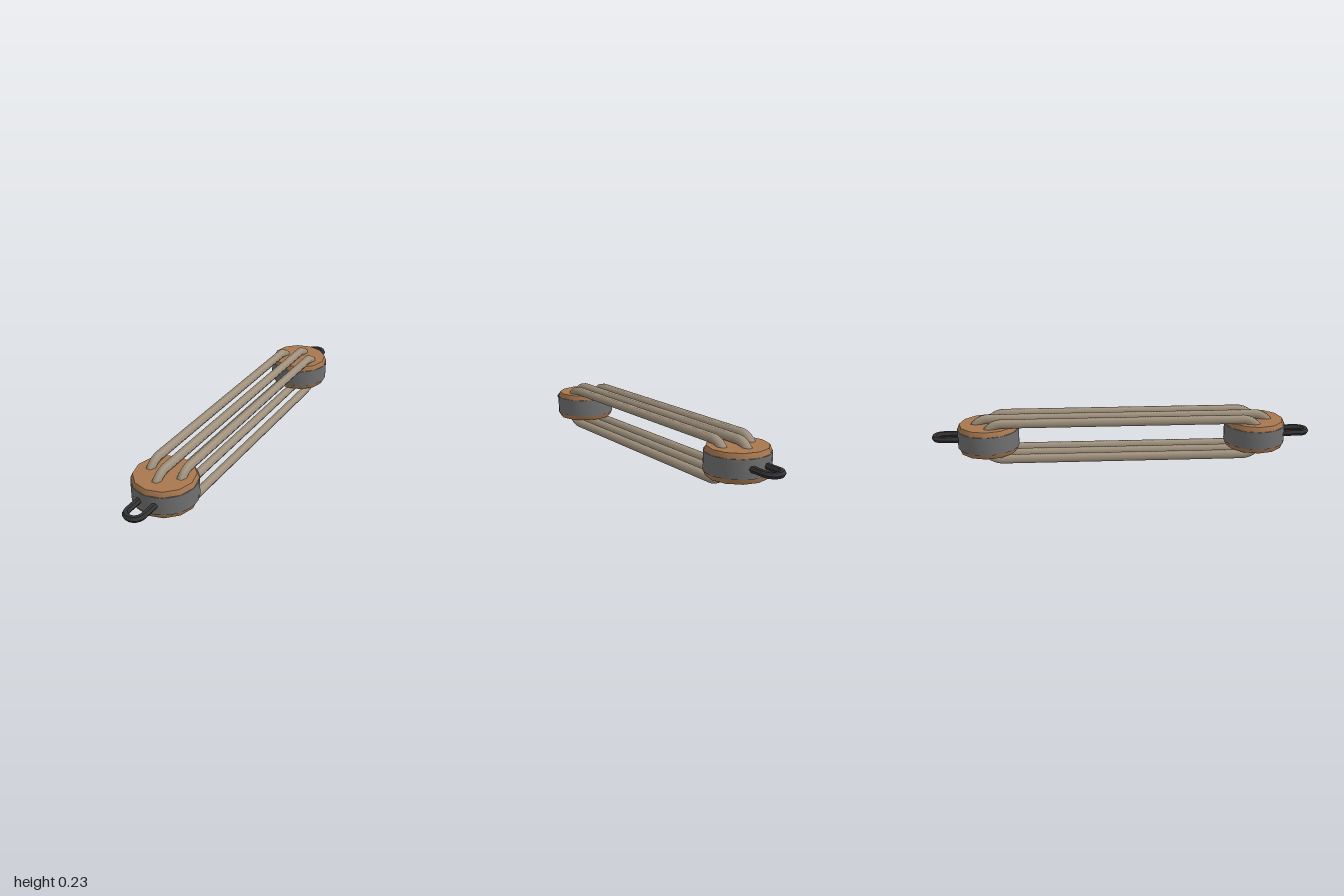
import * as THREE from 'three';
import { toCreasedNormals } from 'three/addons/utils/BufferGeometryUtils.js';

const MID = 0.117; // height of the middle plane
const material = (name, color) => {
  const m = new THREE.MeshStandardMaterial({ color });
  m.name = name;
  return m;
};

// Lifts a flat 2D path into space so that a tube can follow it.
class LiftedPath extends THREE.Curve {
  constructor(path, lift) {
    super();
    this.path = path;
    this.lift = lift;
  }
  getPoint(t) {
    const p = this.path.getPoint(t);
    return this.lift(p.x, p.y);
  }
}

// Rope loop: two long runs joined by half circles, centred on the origin.
function ropeGeometry(bendZ) {
  const r = 0.0964;
  const path = new THREE.Path();
  path.moveTo(-bendZ, -r);
  path.lineTo(bendZ, -r);
  path.absarc(bendZ, 0, r, -Math.PI / 2, Math.PI / 2, false);
  path.lineTo(-bendZ, r);
  path.absarc(-bendZ, 0, r, Math.PI / 2, Math.PI * 1.5, false);
  const curve = new LiftedPath(path, (x, y) => new THREE.Vector3(x, y, 0));
  return new THREE.TubeGeometry(curve, 240, 0.024, 6, true).rotateY(Math.PI / 2);
}

// U-shaped shackle reaching out along +z.
function shackleGeometry() {
  const r = 0.0425, tip = 0.941;
  const path = new THREE.Path();
  path.moveTo(r, 0.82);
  path.lineTo(r, tip);
  path.absarc(0, tip, r, 0, Math.PI, false);
  path.lineTo(-r, 0.82);
  const curve = new LiftedPath(path, (x, y) => new THREE.Vector3(0, y, x));
  const tube = new THREE.TubeGeometry(curve, 24, 0.0165, 6, false);
  tube.rotateX(Math.PI / 2).rotateZ(Math.PI / 2);
  return toCreasedNormals(tube, 0.6);
}

// Turned profile given as [radius, height] pairs.
function turned(profile, sides) {
  const points = profile.map(([r, y]) => new THREE.Vector2(r, y));
  return toCreasedNormals(new THREE.LatheGeometry(points, sides), 0.6);
}

export function createModel() {
  const model = new THREE.Group();
  model.name = 'ropeTackle';
  const wood = material('wood', 0xa87850);
  const iron = material('greyIron', 0x707070);
  const darkIron = material('darkIron', 0x333333);
  const hemp = material('hempRope', 0xa39480);

  const add = (parent, name, geometry, mat, x = 0, y = 0, z = 0) => {
    const mesh = new THREE.Mesh(geometry, mat);
    mesh.name = name;
    mesh.position.set(x, y, z);
    parent.add(mesh);
  };

  // Chamfered wooden disc, iron band and shackle for each end
  const discGeometry = turned(
    [[0, -0.072], [0.149, -0.072], [0.159, -0.047], [0.159, 0.047], [0.149, 0.072], [0, 0.072]], 12);
  const bandGeometry = turned(
    [[0.15, -0.047], [0.16, -0.047], [0.16, 0.047], [0.15, 0.047]], 24);
  const shackle = shackleGeometry();
  for (const [side, turn] of [['front', 0], ['back', Math.PI]]) {
    const end = new THREE.Group();
    end.name = side + 'Block';
    end.rotation.y = turn;
    add(end, side + 'Disc', discGeometry, wood, 0, MID, 0.705);
    add(end, side + 'Band', bandGeometry, iron, 0, MID, 0.705);
    add(end, side + 'Shackle', shackle, darkIron, 0, MID, 0);
    model.add(end);
  }

  // Three rope loops threaded through both blocks
  add(model, 'middleRope', ropeGeometry(0.7), hemp, 0, MID, 0);
  const outerRope = ropeGeometry(0.625);
  add(model, 'leftRope', outerRope, hemp, 0.085, MID, 0);
  add(model, 'rightRope', outerRope, hemp, -0.085, MID, 0);

  return model;
}
